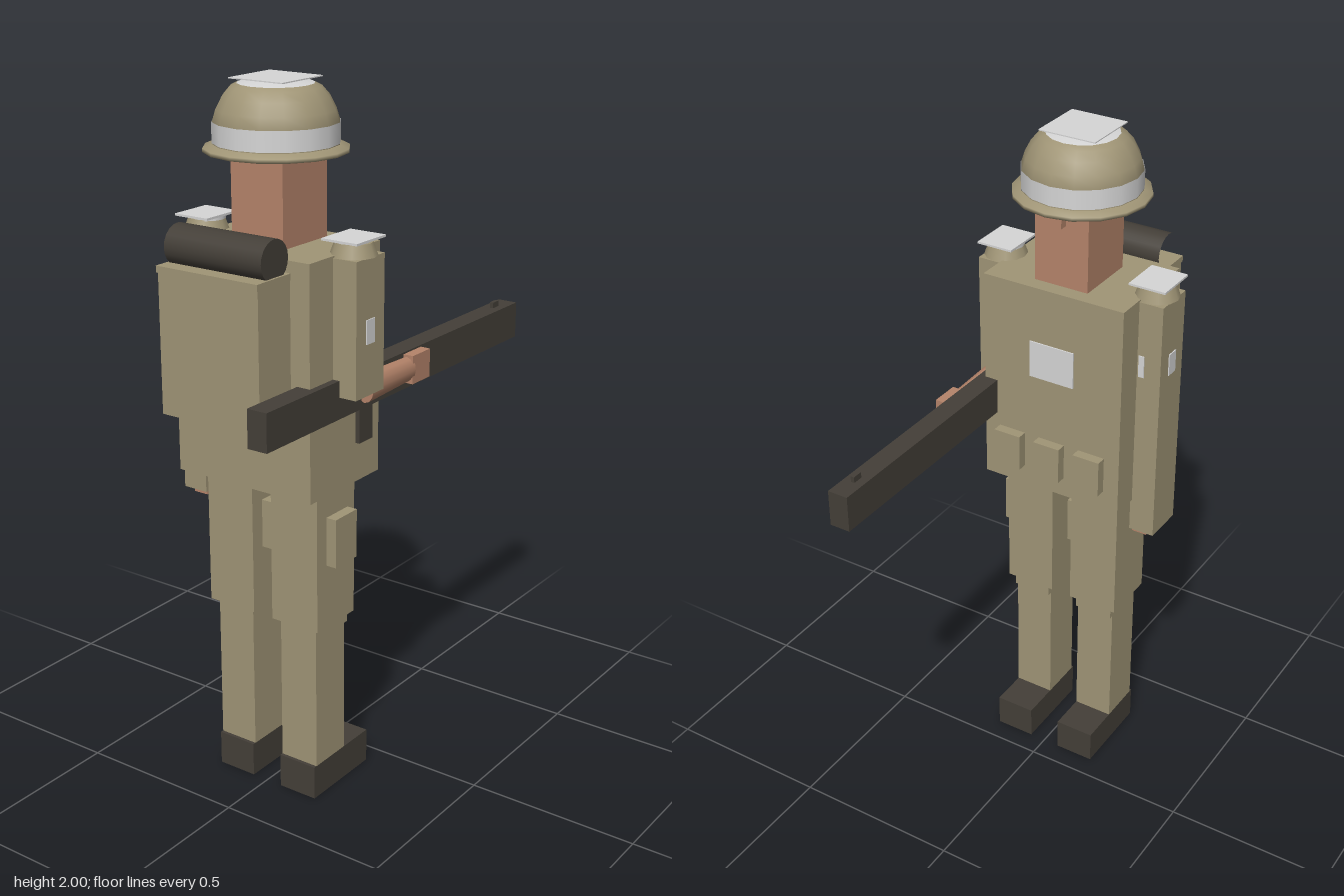
import * as THREE from 'three';

const mat = (name, color, side = THREE.FrontSide) => {
  const m = new THREE.MeshStandardMaterial({ color, side });
  m.name = name;
  return m;
};

export function createModel() {
  const khaki = mat('khaki cloth', 0xa09576);
  const helmetKhaki = mat('helmet khaki', 0xa09576, THREE.DoubleSide);
  const dark = mat('dark gunmetal', 0x443f38);
  const skin = mat('skin', 0xb5846a);
  const white = mat('white marking', 0xd6d6d6, THREE.DoubleSide);

  const model = new THREE.Group();
  model.name = 'soldier';
  const add = (name, geo, material, parent = model) => {
    const m = new THREE.Mesh(geo, material);
    m.name = name;
    parent.add(m);
    return m;
  };
  // Box given by its limits on each axis
  const box = (name, material, x0, x1, y0, y1, z0, z1, parent = model) => {
    const m = add(name, new THREE.BoxGeometry(x1 - x0, y1 - y0, z1 - z0), material, parent);
    m.position.set((x0 + x1) / 2, (y0 + y1) / 2, (z0 + z1) / 2);
    return m;
  };
  const group = (name) => {
    const g = new THREE.Group();
    g.name = name;
    model.add(g);
    return g;
  };
  const cx = -0.245;

  // Torso, chest patch and belt pouches
  box('torso', khaki, -0.405, -0.095, 0.94, 1.58, -0.22, 0.22);
  box('chestPatch', white, -0.095, -0.091, 1.305, 1.415, -0.07, 0.07);
  for (const z of [-0.13, 0, 0.13]) {
    box('beltPouch', khaki, -0.095, -0.065, 1.0, 1.11, z - 0.042, z + 0.042);
  }

  // Head and nose
  box('head', skin, -0.33, -0.14, 1.58, 1.825, -0.083, 0.083);
  box('nose', skin, -0.14, -0.115, 1.76, 1.82, -0.014, 0.014);

  // Helmet: lathed brim, dome, band and crown
  const helmet = group('helmet');
  helmet.position.x = cx;
  const lathe = (name, material, pts) =>
    add(name, new THREE.LatheGeometry(pts.map(p => new THREE.Vector2(...p)), 16), material, helmet);
  lathe('brim', helmetKhaki, [[0.165, 1.814], [0.19, 1.814], [0.19, 1.824], [0.166, 1.834]]);
  lathe('dome', helmetKhaki, [[0.164, 1.816], [0.164, 1.89], [0.155, 1.92], [0.138, 1.953], [0.118, 1.976], [0.1, 1.985]]);
  lathe('band', white, [[0.166, 1.836], [0.166, 1.89]]);
  lathe('crown', white, [[0.1, 1.985], [0.05, 1.994], [0, 1.998]]);
  box('crownPlate', white, -0.085, 0.085, 1.997, 2.0, -0.085, 0.085, helmet);

  // Arms: long sleeve, rounded shoulder, white plate and patches
  for (const s of [1, -1]) {
    const arm = group(s > 0 ? 'rightArm' : 'leftArm');
    const span = (a, b) => (s > 0 ? [a, b] : [-b, -a]);
    box('sleeve', khaki, -0.305, -0.18, s > 0 ? 1.21 : 0.84, 1.575, ...span(0.215, 0.292), arm);
    const cap = add('shoulder', new THREE.CylinderGeometry(0.05, 0.0625, 0.035, 12), khaki, arm);
    cap.position.set(-0.2425, 1.592, s * 0.24);
    const disc = add('shoulderDisc', new THREE.CylinderGeometry(0.048, 0.048, 0.01, 12), white, arm);
    disc.position.set(-0.2425, 1.612, s * 0.235);
    box('shoulderPlate', white, -0.308, -0.18, 1.616, 1.622, ...span(0.185, 0.295), arm);
    box('sidePatch', white, -0.262, -0.225, 1.35, 1.415, ...span(0.292, 0.295), arm);
    box('frontPatch', white, -0.18, -0.177, 1.35, 1.415, ...span(0.225, 0.242), arm);
  }
  const forearm = add('rightForearm', new THREE.CylinderGeometry(0.034, 0.041, 0.21, 12), skin);
  forearm.rotation.z = -Math.PI / 2;
  forearm.scale.z = 0.7;
  forearm.position.set(-0.1, 1.21, 0.25);
  box('rightHand', skin, -0.005, 0.08, 1.17, 1.25, 0.235, 0.27);
  box('leftHand', skin, -0.295, -0.19, 0.828, 0.842, -0.265, -0.22);

  // Legs: thigh, knee pad, shin, boot and side pouch
  for (const s of [1, -1]) {
    const leg = group(s > 0 ? 'rightLeg' : 'leftLeg');
    leg.position.z = s * 0.109;
    box('thigh', khaki, -0.33, -0.158, 0.53, 0.94, -0.077, 0.077, leg);
    box('shin', khaki, -0.313, -0.18, 0.1, 0.53, -0.06, 0.06, leg);
    box('kneePad', khaki, -0.18, -0.167, 0.495, 0.53, -0.06, 0.06, leg);
    box('boot', dark, -0.323, -0.065, 0, 0.1, -0.06, 0.06, leg);
    box('thighPouch', khaki, -0.287, -0.19, 0.715, 0.855, 0.077, 0.108, leg);
  }

  // Backpack with lid
  box('backpack', khaki, -0.535, -0.405, 1.15, 1.53, -0.16, 0.16);
  box('backpackLid', khaki, -0.54, -0.405, 1.53, 1.548, -0.162, 0.162);

  // Bedroll: tube with one closed end
  const roll = group('bedroll');
  roll.position.set(-0.46, 1.59, 0);
  add('rollTube', new THREE.CylinderGeometry(0.055, 0.055, 0.31, 20, 1, true), dark, roll).rotation.x = Math.PI / 2;
  add('rollEnd', new THREE.CircleGeometry(0.055, 20), dark, roll).position.z = 0.155;

  // Rifle with magazine and sights
  const rifle = group('rifle');
  box('rifleBody', dark, -0.61, 0.605, 1.15, 1.255, 0.18, 0.24, rifle);
  box('magazine', dark, -0.202, -0.14, 1.05, 1.15, 0.22, 0.232, rifle);
  box('frontSight', dark, 0.51, 0.54, 1.255, 1.272, 0.205, 0.216, rifle);
  box('rearSight', dark, -0.18, -0.125, 1.255, 1.28, 0.222, 0.236, rifle);

  return model;
}
